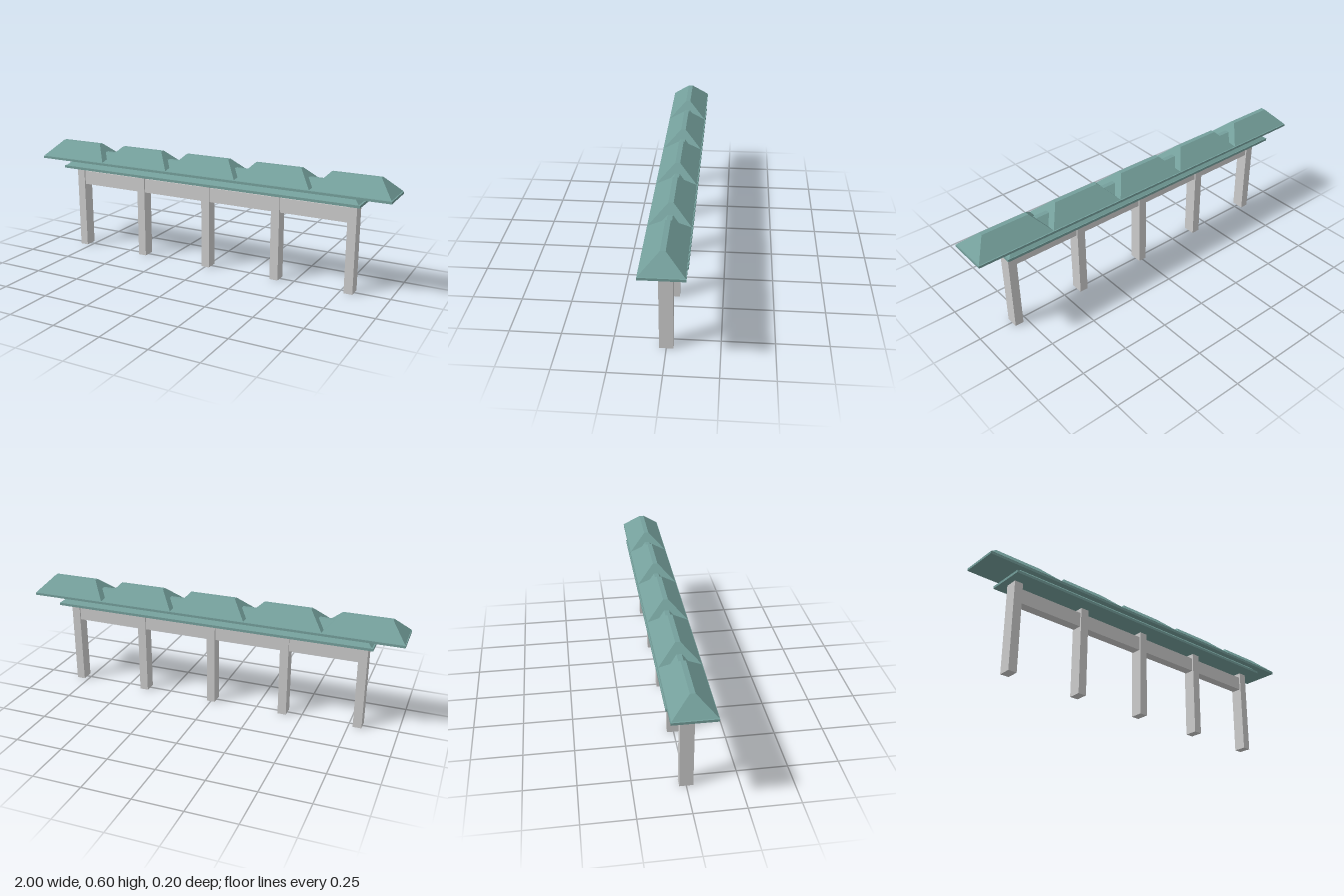
import * as THREE from 'three';

const grey = new THREE.MeshStandardMaterial({ color: 0xcccccc, flatShading: true });
const teal = new THREE.MeshStandardMaterial({ color: 0x749f9b, flatShading: true });

// Box given by its full width and depth, standing between two heights
function box(name, material, width, y0, y1, depth, x = 0) {
  const mesh = new THREE.Mesh(new THREE.BoxGeometry(width, y1 - y0, depth), material);
  mesh.name = name;
  mesh.position.set(x, (y0 + y1) / 2, 0);
  return mesh;
}

// Hipped roof: a box whose top face is drawn in to a narrow ridge
function hipRoof(name, width, topWidth, y0, y1, depth, topDepth, x = 0) {
  const mesh = box(name, teal, width, y0, y1, depth, x);
  const pos = mesh.geometry.attributes.position;
  for (let i = 0; i < pos.count; i++) {
    if (pos.getY(i) > 0) {
      pos.setX(i, Math.sign(pos.getX(i)) * topWidth / 2);
      pos.setZ(i, Math.sign(pos.getZ(i)) * topDepth / 2);
    }
  }
  mesh.geometry.computeVertexNormals();
  return mesh;
}

export function createModel() {
  const model = new THREE.Group();
  model.name = 'coveredColonnade';

  // Columns and the beam that ties them together
  for (let i = -2; i <= 2; i++) {
    model.add(box('column', grey, 0.045, 0, 0.465, 0.066, i * 0.398));
  }
  model.add(box('tieBeam', grey, 1.594, 0.362, 0.438, 0.05));

  // Lower roof: eave slab and one long hip that rises through the upper slab
  model.add(box('lowerEave', teal, 1.706, 0.464, 0.477, 0.205));
  model.add(hipRoof('lowerRoof', 1.69, 1.51, 0.478, 0.558, 0.2, 0.024));

  // Upper roof: eave slab and a row of five hips
  model.add(box('upperEave', teal, 2, 0.504, 0.516, 0.205));
  for (let i = -2; i <= 2; i++) {
    model.add(hipRoof('upperRoof', 0.398, 0.247, 0.519, 0.599, 0.2, 0.024, i * 0.399));
  }
  return model;
}
